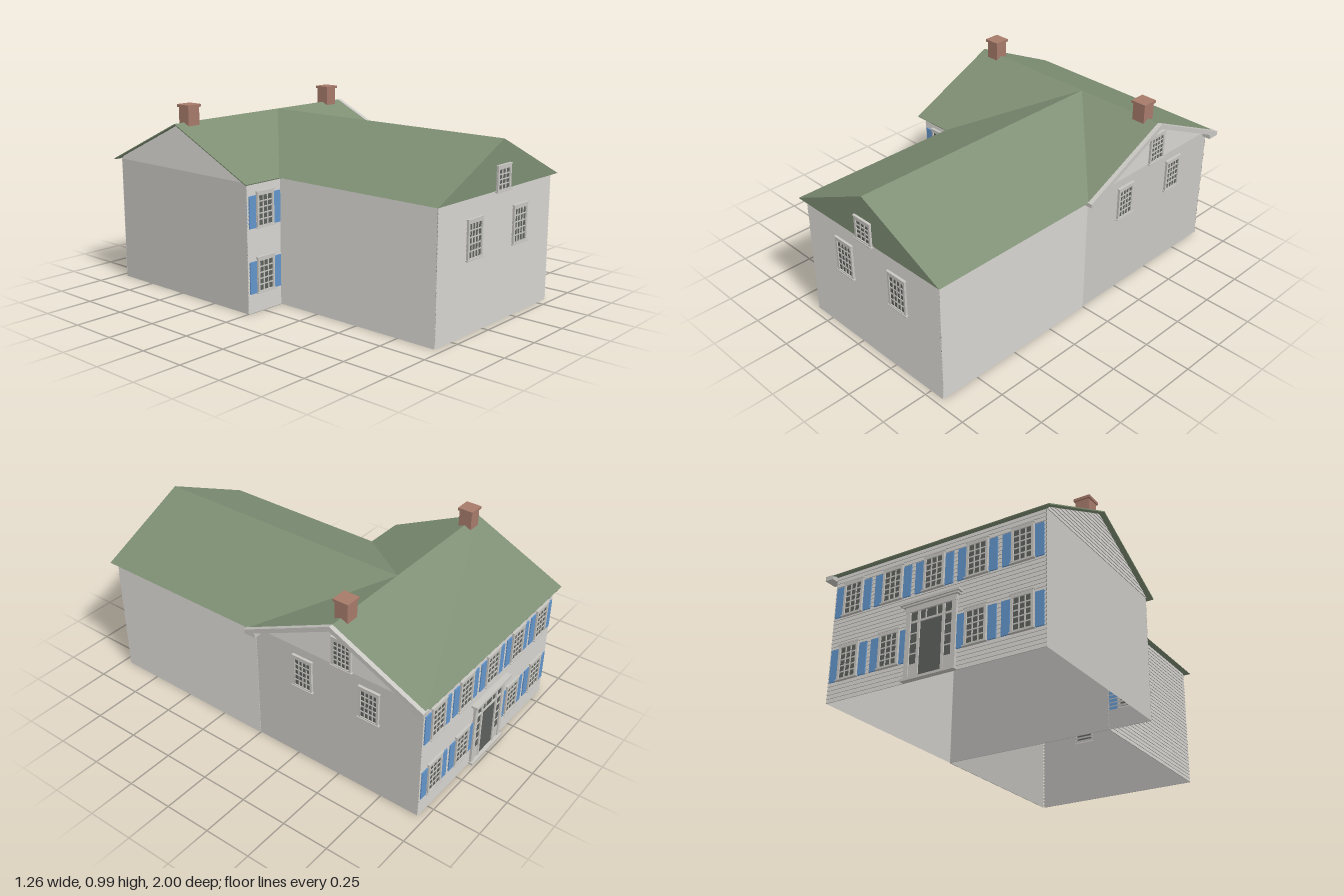
import * as THREE from 'three';

const paint = (name, color, side = THREE.FrontSide) => {
  const m = new THREE.MeshStandardMaterial({ color, side });
  m.name = name;
  return m;
};

export function createModel() {
  const wallMat = paint('wall grey', 0xcac8c4, THREE.DoubleSide);
  const trimMat = paint('trim grey', 0xc8c6c1);
  const glassMat = paint('dark glass', 0x5c605c);
  const roofMat = paint('roof green', 0x7d8e73, THREE.DoubleSide);
  const shutterMat = paint('shutter blue', 0x6395cb);
  const brickMat = paint('chimney brick', 0xa67a6a);

  const house = new THREE.Group();
  house.name = 'house';

  const add = (parent, name, geo, mat) => {
    const mesh = new THREE.Mesh(geo, mat);
    mesh.name = name;
    parent.add(mesh);
    return mesh;
  };
  // Box given by its limits
  const box = (parent, name, mat, x0, x1, y0, y1, z0, z1) => {
    const m = add(parent, name, new THREE.BoxGeometry(x1 - x0, y1 - y0, z1 - z0), mat);
    m.position.set((x0 + x1) / 2, (y0 + y1) / 2, (z0 + z1) / 2);
    return m;
  };
  // Flat faces from corner loops
  const faces = (loops) => {
    const pos = [];
    for (const l of loops)
      for (let i = 1; i < l.length - 1; i++) pos.push(...l[0], ...l[i], ...l[i + 1]);
    const g = new THREE.BufferGeometry();
    g.setAttribute('position', new THREE.Float32BufferAttribute(pos, 3));
    g.computeVertexNormals();
    return g;
  };

  // Each side is a group whose local +z points out of the wall
  const side = (name, x, z, angle) => {
    const g = new THREE.Group();
    g.name = name;
    g.position.set(x, 0, z);
    g.rotation.y = angle;
    house.add(g);
    return g;
  };
  const wingFront = side('wingFront', 0.105, 0.96, 0);
  const wingLeft = side('wingLeftSide', 0.58, 0.48, Math.PI / 2);
  const wingRight = side('wingRightSide', -0.37, 0.48, -Math.PI / 2);
  const mainFront = side('mainFront', -0.01, 0, 0);
  const mainBack = side('mainBack', -0.01, -0.96, Math.PI);
  const mainLeft = side('mainLeftSide', 0.58, -0.48, Math.PI / 2);
  const mainRight = side('mainRightSide', -0.6, -0.48, -Math.PI / 2);

  // Lapped boards; half(y) is half the wall width at height y
  const clapboards = (parent, name, y0, y1, rows, half) => {
    const loops = [], h = (y1 - y0) / rows, d = 0.004;
    for (let i = 0; i < rows; i++) {
      const a = y0 + i * h, b = a + h, wa = half(a), wb = half(b);
      loops.push([[-wa, a, d], [wa, a, d], [wb, b, 0], [-wb, b, 0]]);
      loops.push([[-wa, a, 0], [wa, a, 0], [wa, a, d], [-wa, a, d]]);
    }
    add(parent, name, faces(loops), wallMat);
  };
  clapboards(wingFront, 'wingFrontSiding', 0, 0.66, 33, () => 0.475);
  clapboards(wingLeft, 'wingLeftSiding', 0, 0.66, 33, () => 0.48);
  clapboards(wingRight, 'wingRightSiding', 0, 0.66, 33, () => 0.48);
  clapboards(mainFront, 'mainFrontSiding', 0, 0.66, 33, () => 0.59);
  clapboards(mainBack, 'mainBackSiding', 0, 0.66, 33, () => 0.59);
  for (const s of [mainLeft, mainRight]) {
    const w = 0.48;
    add(s, 'plainSideWall', faces([[[-w, 0, 0], [w, 0, 0], [w, 0.66, 0], [-w, 0.66, 0]]]), wallMat);
    clapboards(s, 'gableSiding', 0.66, 0.895, 12, (y) => Math.min(w, (0.895 - y) / 0.4706));
  }

  // Window with frame, glazing bars, head and sill
  const makeWindow = (parent, x, y0, y1, z, w, cols, rows) => {
    const g = new THREE.Group();
    g.name = 'window';
    g.position.set(x, 0, z);
    parent.add(g);
    const h = w / 2, gx = h - 0.012, b = y0 + 0.012, t = y1 - 0.022;
    box(g, 'glass', glassMat, -gx, gx, b, t, 0, 0.006);
    for (const s of [-1, 1])
      box(g, 'frameSide', trimMat, s * h - 0.006 - s * 0.006, s * h + 0.006 - s * 0.006, y0, y1, 0, 0.012);
    box(g, 'frameTop', trimMat, -gx, gx, t, y1, 0, 0.012);
    box(g, 'frameBottom', trimMat, -gx, gx, y0, b, 0, 0.012);
    box(g, 'head', trimMat, -h - 0.004, h + 0.004, y1 - 0.006, y1, 0, 0.014);
    box(g, 'sill', trimMat, -h - 0.006, h + 0.006, y0, y0 + 0.006, 0, 0.016);
    for (let i = 1; i < cols; i++) {
      const c = -gx + (2 * gx * i) / cols;
      box(g, 'uprightBar', trimMat, c - 0.003, c + 0.003, b, t, 0.004, 0.009);
    }
    for (let i = 1; i < rows; i++) {
      const c = b + ((t - b) * i) / rows;
      box(g, 'crossBar', trimMat, -gx, gx, c - 0.003, c + 0.003, 0.004, 0.009);
    }
  };
  const shuttered = (parent, x, y0, y1) => {
    makeWindow(parent, x, y0, y1, 0.002, 0.114, 3, 5);
    for (const s of [-1, 1]) {
      const c = x + s * 0.084;
      box(parent, 'shutter', shutterMat, c - 0.022, c + 0.022, y0 + 0.003, y1 - 0.019, 0.001, 0.008);
    }
  };
  const upper = [0.428, 0.612], lower = [0.096, 0.282];

  // Wing end windows, gable window
  for (const s of [-1, 1]) makeWindow(wingFront, s * 0.192, 0.36, 0.558, 0.002, 0.12, 4, 5);
  makeWindow(wingFront, 0, 0.652, 0.782, 0.024, 0.112, 3, 4);
  // Main house windows
  for (const r of [upper, lower]) shuttered(mainFront, -0.473, ...r);
  for (let i = -2; i <= 2; i++) {
    shuttered(mainBack, i * 0.237, ...upper);
    if (i) shuttered(mainBack, i * 0.237, ...lower);
  }
  for (const s of [-1, 1]) makeWindow(mainLeft, s * 0.192, 0.428, 0.612, 0, 0.112, 4, 5);
  makeWindow(mainLeft, 0.037, 0.658, 0.82, 0.002, 0.112, 4, 5);

  // Entrance: doorway with sidelights, transom, pilasters and cornice
  const door = new THREE.Group();
  door.name = 'entrance';
  mainBack.add(door);
  box(door, 'doorway', glassMat, -0.12, 0.12, 0.01, 0.34, 0, 0.008);
  box(door, 'doorStep', trimMat, -0.145, 0.145, 0, 0.012, 0, 0.028);
  box(door, 'lintel', trimMat, -0.14, 0.14, 0.335, 0.365, 0, 0.018);
  box(door, 'cornice', trimMat, -0.152, 0.152, 0.362, 0.372, 0, 0.028);
  box(door, 'corniceTop', trimMat, -0.163, 0.163, 0.37, 0.382, 0, 0.036);
  box(door, 'transomRail', trimMat, -0.12, 0.12, 0.28, 0.29, 0, 0.014);
  for (const s of [-1, 1]) {
    const post = (name, c, w, d) => box(door, name, trimMat, s * c - w / 2, s * c + w / 2, 0.01, 0.34, 0, d);
    post('pilaster', 0.126, 0.024, 0.016);
    post('doorPost', 0.068, 0.014, 0.014);
    box(door, 'sidelightPanel', trimMat, s * 0.093 - 0.022, s * 0.093 + 0.022, 0.01, 0.08, 0, 0.011);
    for (const y of [0.13, 0.18, 0.23])
      box(door, 'sidelightBar', trimMat, s * 0.093 - 0.022, s * 0.093 + 0.022, y - 0.003, y + 0.003, 0, 0.011);
    box(door, 'transomBar', trimMat, s * 0.03 - 0.003, s * 0.03 + 0.003, 0.29, 0.335, 0, 0.011);
  }

  // Sloping strip over the main house, run along x
  const chevron = (name, mat, x0, x1, top, drop, reach) => {
    const s = new THREE.Shape();
    s.moveTo(-reach, top - 0.24);
    s.lineTo(0, top);
    s.lineTo(reach, top - 0.24);
    s.lineTo(reach - drop * 0.4, top - 0.24 - drop * 0.8);
    s.lineTo(0, top - drop);
    s.lineTo(-reach + drop * 0.4, top - 0.24 - drop * 0.8);
    s.closePath();
    const g = new THREE.ExtrudeGeometry(s, { depth: x1 - x0, bevelEnabled: false });
    g.rotateY(Math.PI / 2);
    add(house, name, g, mat).position.set(x0, 0, -0.48);
  };
  chevron('mainRoof', roofMat, -0.63, 0.61, 0.9, 0.006, 0.51);
  chevron('bargeBoard', trimMat, 0.608, 0.632, 0.901, 0.026, 0.512);
  for (const c of [-0.002, -0.958])
    box(house, 'corniceReturn', trimMat, 0.585, 0.631, 0.64, 0.663, c - 0.033, c + 0.033);
  add(house, 'mainCeiling', faces([
    [[-0.6, 0.659, -0.985], [0.58, 0.659, -0.985], [0.58, 0.659, 0.025], [-0.6, 0.659, 0.025]],
  ]), roofMat);

  // Wing roof with a closed end, meeting the main roof in two valleys
  const A = [-0.405, 0.66, 0.985], B = [0.61, 0.66, 0.985], C = [0.105, 0.9, 0.985];
  const A2 = [-0.405, 0.66, 0.03], B2 = [0.61, 0.66, 0.03], R = [0.105, 0.9, -0.48];
  add(house, 'wingRoof', faces([[A, C, R, A2], [B, B2, R, C], [A, B, C], [A, A2, B2, B]]), roofMat);

  // Chimneys on the ridge
  for (const x of [-0.531, 0.509]) {
    box(house, 'chimney', brickMat, x - 0.036, x + 0.036, 0.86, 0.98, -0.517, -0.445);
    box(house, 'chimneyCap', brickMat, x - 0.043, x + 0.043, 0.976, 0.99, -0.524, -0.438);
  }
  return house;
}
